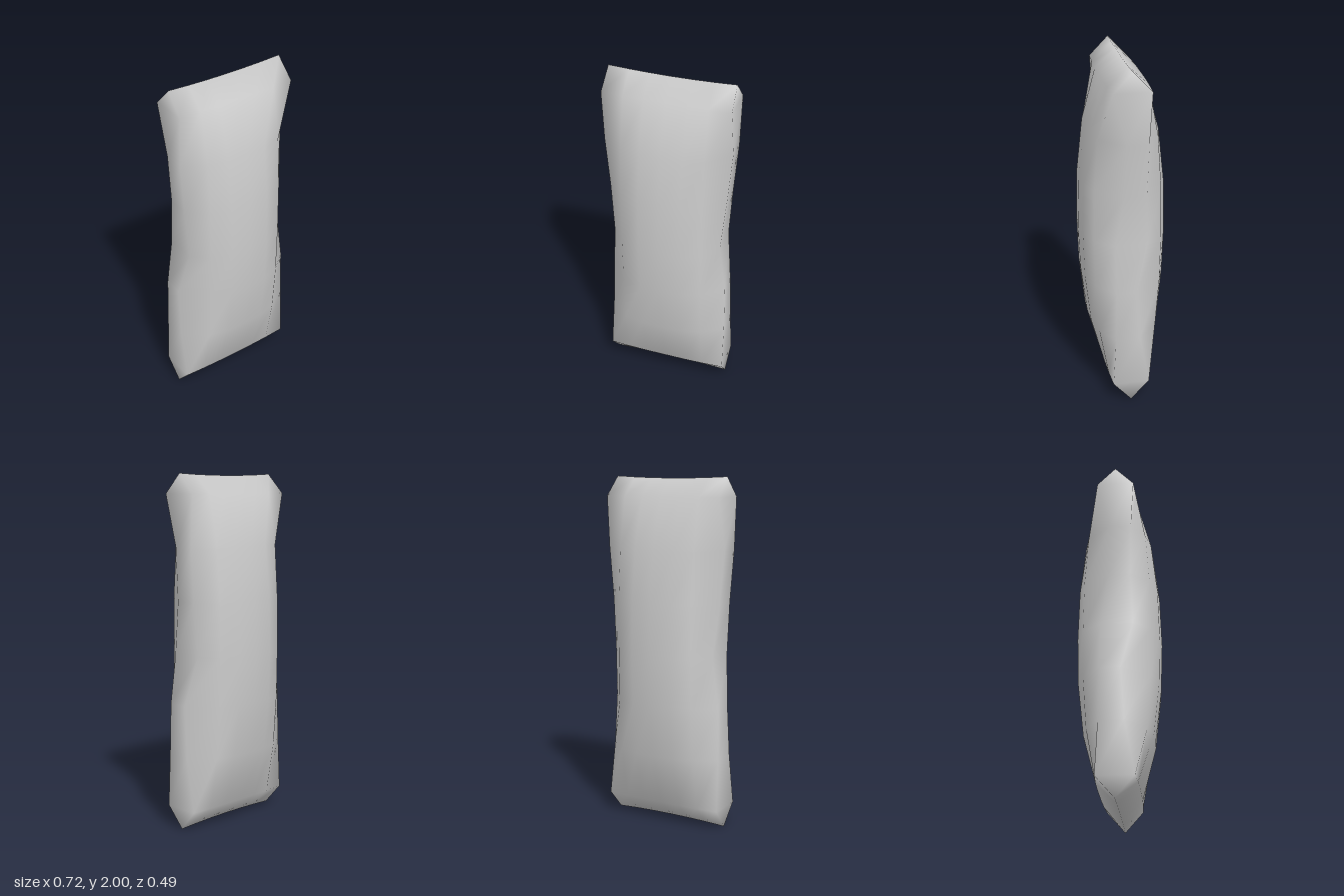
import * as THREE from 'three';
import { mergeVertices } from 'three/addons/utils/BufferGeometryUtils.js';

// Cross-sections from bottom to top:
// y, half width, depth at x = 0 / 0.12 / 0.235, front and back depth of the +x edge
const ROWS = [
  [0.00, 0.355, 0, 0, 0, 0, 0],
  [0.12, 0.36, 0.115, 0.115, 0.112, 0.105, -0.105],
  [0.42, 0.36, 0.197, 0.193, 0.165, 0.09, -0.05],
  [0.72, 0.355, 0.233, 0.226, 0.186, 0.085, -0.03],
  [1.00, 0.316, 0.243, 0.234, 0.19, 0.085, -0.095],
  [1.30, 0.335, 0.233, 0.226, 0.186, 0.04, -0.085],
  [1.60, 0.357, 0.197, 0.193, 0.165, 0.03, -0.09],
  [1.89, 0.36, 0.115, 0.115, 0.112, 0.105, -0.105],
  [2.00, 0.355, 0, 0, 0, 0, 0],
];

// Front half of a ring, from -x to +x; the back half is its half turn about y
function ring([y, w, z0, z1, z2, front, back], dip) {
  const half = [
    [-w, -back], [-0.235, z2], [-0.12, z1], [0, z0], [0.12, z1], [0.235, z2], [w, front],
  ];
  const points = [...half, ...half.map(([x, z]) => [-x, -z])];
  return points.map(([x, z]) => [x, y + dip * (1 - (x / w) ** 2), z]);
}

function cushionGeometry() {
  const last = ROWS.length - 1;
  const positions = [];
  const index = [];
  const n = 14;
  ROWS.forEach((row, r) => {
    // The end seams sag slightly towards the middle
    const dip = r === 0 ? 0.01 : r === last ? -0.01 : 0;
    for (const p of ring(row, dip)) positions.push(...p);
  });
  for (let r = 0; r < last; r++) {
    for (let i = 0; i < n; i++) {
      const a = r * n + i;
      const b = r * n + (i + 1) % n;
      index.push(a, b, b + n, a, b + n, a + n);
    }
  }
  let geometry = new THREE.BufferGeometry();
  geometry.setAttribute('position', new THREE.Float32BufferAttribute(positions, 3));
  geometry.setIndex(index);
  // Weld the pinched seams so the shading runs smoothly over them
  geometry = mergeVertices(geometry, 1e-4);
  geometry.computeVertexNormals();
  return geometry;
}

export function createModel() {
  const group = new THREE.Group();
  group.name = 'pillow';
  const cushion = new THREE.Mesh(
    cushionGeometry(),
    new THREE.MeshStandardMaterial({ color: 0xcccccc }),
  );
  cushion.name = 'cushion';
  group.add(cushion);
  return group;
}
